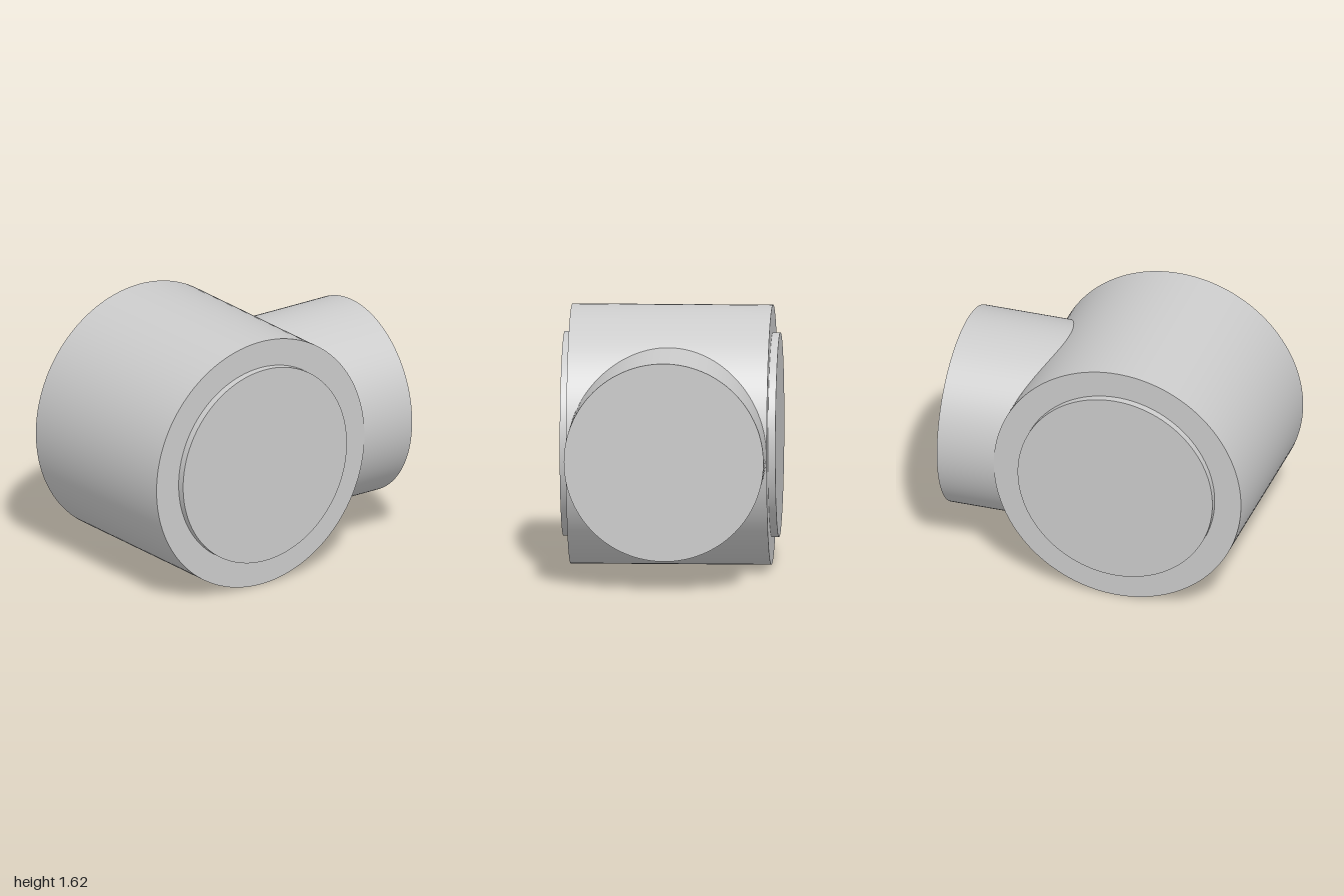
import * as THREE from 'three';
import { toCreasedNormals } from 'three/addons/utils/BufferGeometryUtils.js';

const SEGMENTS = 128;
const AXIS_X = -0.1875; // barrel axis position
const BARREL_R = 0.8125, BARREL_HALF = 0.628;
const HUB_R = 0.64, HUB_END = 0.675;
const BRANCH_R = 0.625;

const material = new THREE.MeshStandardMaterial({ color: 0xcccccc });

// Revolve [radius, height] points around y, bottom to top
function turned(points) {
  return new THREE.LatheGeometry(points.map(([r, h]) => new THREE.Vector2(r, h)), SEGMENTS);
}

function addPart(group, name, geometry) {
  const mesh = new THREE.Mesh(toCreasedNormals(geometry, Math.PI / 6), material);
  mesh.name = name;
  group.add(mesh);
  return mesh;
}

export function createModel() {
  const model = new THREE.Group();
  model.name = 'pipeTee';

  // Main barrel along z, with ring-shaped end faces around the hubs
  const barrel = turned([
    [HUB_R, -BARREL_HALF], [BARREL_R, -BARREL_HALF],
    [BARREL_R, BARREL_HALF], [HUB_R, BARREL_HALF],
  ]).rotateX(Math.PI / 2);
  addPart(model, 'barrel', barrel).position.set(AXIS_X, BARREL_R, 0);

  // Raised round hub on each end of the barrel
  for (const [name, side] of [['frontHub', 1], ['backHub', -1]]) {
    const hub = turned([[HUB_R, BARREL_HALF], [HUB_R, HUB_END], [0, HUB_END]])
      .rotateX(side * Math.PI / 2);
    addPart(model, name, hub).position.set(AXIS_X, BARREL_R, 0);
  }

  // Side branch along +x, its inner rim curved to follow the barrel
  const length = 1 - AXIS_X;
  const branch = turned([[BRANCH_R, 0], [BRANCH_R, length], [0, length]]).rotateZ(-Math.PI / 2);
  const pos = branch.attributes.position;
  for (let i = 0; i < pos.count; i++) {
    if (pos.getX(i) < length / 2) {
      pos.setX(i, Math.sqrt(BARREL_R ** 2 - pos.getY(i) ** 2) - 0.003);
    }
  }
  addPart(model, 'sideBranch', branch).position.set(AXIS_X, BARREL_R, 0);

  return model;
}
